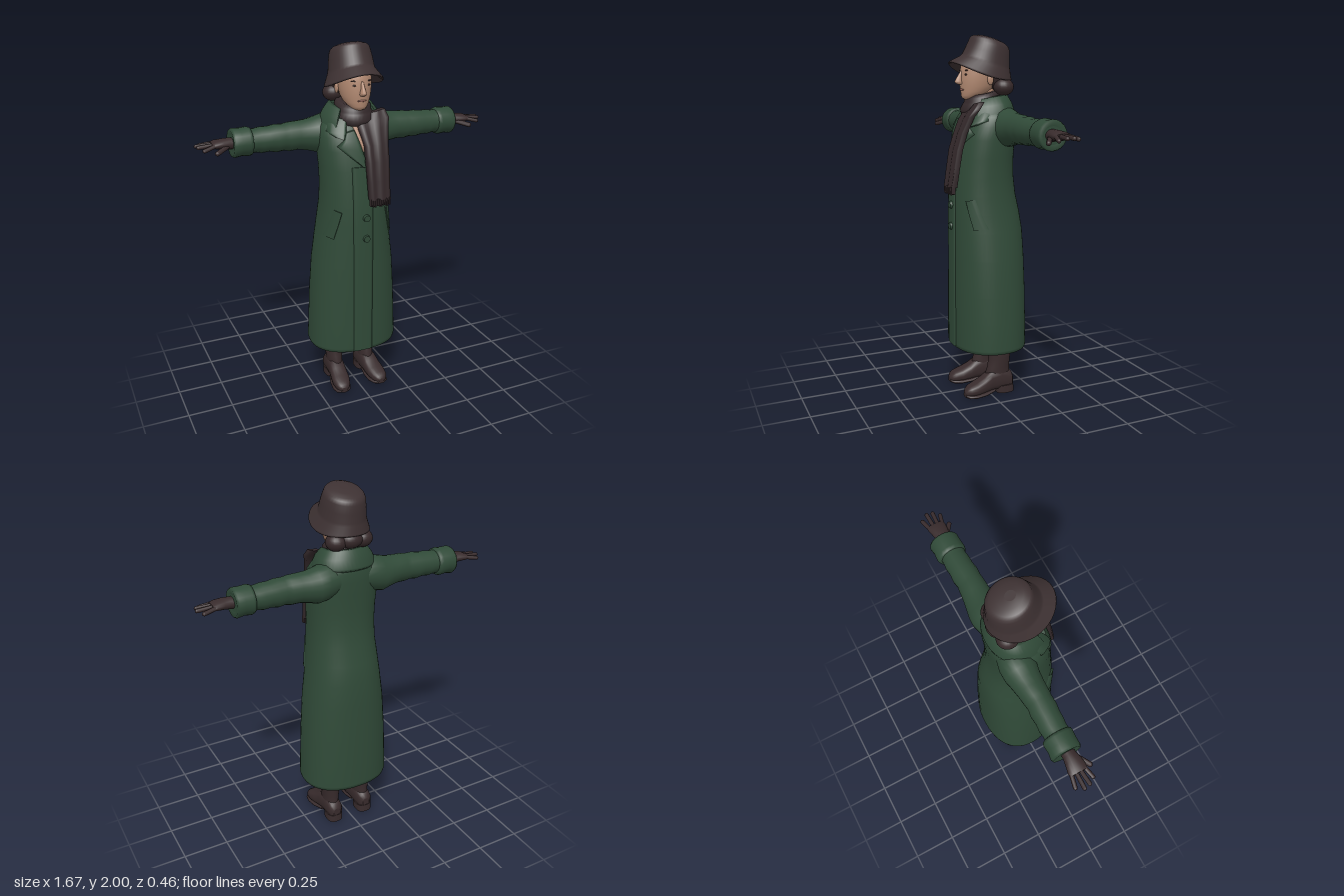
import * as THREE from 'three';

const mat = (name, color, side = THREE.FrontSide) => {
  const m = new THREE.MeshStandardMaterial({ color, side });
  m.name = name;
  return m;
};

// Skin a list of equal-length rings, with flat end caps
function loft(rings) {
  const n = rings[0].length, pos = [], idx = [];
  rings.forEach(r => r.forEach(p => pos.push(...p)));
  for (let j = 0; j < rings.length - 1; j++)
    for (let i = 0; i < n; i++) {
      const a = j * n + i, b = j * n + (i + 1) % n;
      idx.push(a, b, b + n, a, b + n, a + n);
    }
  [rings[0], rings[rings.length - 1]].forEach((r, end) => {
    const start = pos.length / 3, c = [0, 1, 2].map(k => r.reduce((s, p) => s + p[k], 0) / n);
    r.forEach(p => pos.push(...p));
    pos.push(...c);
    for (let i = 0; i < n; i++) {
      const a = start + i, b = start + (i + 1) % n;
      idx.push(...(end ? [a, b, start + n] : [b, a, start + n]));
    }
  });
  const g = new THREE.BufferGeometry();
  g.setAttribute('position', new THREE.Float32BufferAttribute(pos, 3));
  g.setIndex(idx);
  g.computeVertexNormals();
  return g;
}

const around = (n, f) => Array.from({ length: n }, (_, i) => f(i / n * Math.PI * 2));
const round = (v, e) => Math.sign(v) * Math.abs(v) ** e;

// Upright body from rows [y, half width, front z, back z, centre x, tilt]
const upright = (rows, n = 32, e = 1) => loft(rows.map(([y, rx, zf, zb, x = 0, tilt = 0]) =>
  around(n, a => [x + rx * round(Math.sin(a), e), y + tilt * Math.cos(a),
    (zf + zb) / 2 + (zf - zb) / 2 * round(Math.cos(a), e)])));

// Body along x from rows [x, centre y, half height, centre z, half depth]
const alongX = (rows, n = 20) => loft(rows.map(([x, y, ry, z, rz]) =>
  around(n, a => [x, y + ry * Math.cos(a), z + rz * Math.sin(a)])));

// Body along z from rows [z, centre x, half width, bottom y, top y]
const alongZ = (rows, n = 20) => loft(rows.map(([z, x, rx, y0, y1]) =>
  around(n, a => [x + rx * round(Math.cos(a), 0.8), (y0 + y1) / 2 + (y1 - y0) / 2 * round(Math.sin(a), 0.8), z])));

const ball = (x, y, z, a, b, c) => new THREE.SphereGeometry(1, 20, 14).scale(a, b, c).translate(x, y, z);

function finger(a, b, r) {
  const A = new THREE.Vector3(...a), B = new THREE.Vector3(...b), d = B.clone().sub(A);
  const q = new THREE.Quaternion().setFromUnitVectors(new THREE.Vector3(0, 1, 0), d.clone().normalize());
  const m = A.add(B).multiplyScalar(0.5);
  return new THREE.CapsuleGeometry(r, d.length(), 4, 8).applyQuaternion(q).translate(m.x, m.y, m.z);
}

function mirrored(g) {
  const m = g.clone().scale(-1, 1, 1);
  m.index.array.reverse();
  return m;
}

const COAT = [
  [0.34, 0.22, 0.15, -0.2], [0.285, 0.245, 0.17, -0.22], [0.28, 0.252, 0.178, -0.23], [0.3, 0.257, 0.18, -0.232],
  [0.45, 0.25, 0.18, -0.23], [0.6, 0.243, 0.18, -0.228], [0.8, 0.228, 0.18, -0.222], [0.95, 0.207, 0.18, -0.215],
  [1.05, 0.196, 0.18, -0.198], [1.15, 0.187, 0.178, -0.175], [1.25, 0.184, 0.17, -0.162], [1.35, 0.188, 0.16, -0.16],
  [1.45, 0.195, 0.145, -0.165], [1.52, 0.195, 0.125, -0.168], [1.57, 0.183, 0.1, -0.168], [1.61, 0.15, 0.07, -0.16],
  [1.64, 0.11, 0.055, -0.14], [1.67, 0.08, 0.04, -0.12]];
const EXP = 0.88;

// Depth of the coat front at (x, y)
function coatZ(x, y) {
  let i = 3;
  while (i < COAT.length - 2 && COAT[i + 1][0] < y) i++;
  const A = COAT[i], B = COAT[i + 1], t = THREE.MathUtils.clamp((y - A[0]) / (B[0] - A[0]), 0, 1);
  const [, rx, zf, zb] = A.map((v, k) => v + (B[k] - v) * t);
  const s = Math.min(1, Math.abs(x) / rx) ** (1 / EXP);
  return (zf + zb) / 2 + (zf - zb) / 2 * Math.sqrt(1 - s * s) ** EXP;
}

// Cloth piece on the coat, rows bottom to top: [x0, y0, x1, y1, optional z]
function patch(rows, thick, under = 0.015, fold = 0) {
  const n = 10;
  return loft(rows.map(([x0, y0, x1, y1, z]) => {
    const at = (t, off) => {
      const x = x0 + (x1 - x0) * t, y = y0 + (y1 - y0) * t;
      return [x, y, (z ?? coatZ(x, y)) + off + fold * Math.sin(t * 13)];
    };
    const ring = [];
    for (let i = 0; i <= n; i++) ring.push(at(i / n, thick * (i % n ? 1 : 0.6)));
    for (let i = n; i >= 0; i--) ring.push(at(i / n, -under));
    return ring;
  }));
}

export function createModel() {
  const root = new THREE.Group();
  root.name = 'womanInCoat';
  const green = mat('coatGreen', 0x304a38), felt = mat('hatBrown', 0x3d3132), knit = mat('scarfBrown', 0x33282a),
    leather = mat('leatherBrown', 0x382b2c), hairMat = mat('hairBrown', 0x36292a), skin = mat('skin', 0xb38a72),
    lip = mat('lips', 0x96655a), dark = mat('eyeDark', 0x4a3630);
  const add = (name, g, m) => {
    const mesh = new THREE.Mesh(g, m);
    mesh.name = name;
    root.add(mesh);
  };
  const pair = (name, g, m) => { add(name + 'Left', g, m); add(name + 'Right', mirrored(g), m); };

  // Coat
  add('coat', upright(COAT, 48, EXP), green);
  add('coatOverlap', patch([0.285, 0.5, 0.8, 1.05, 1.2, 1.37].map(y => [-0.07, y, 0.04, y]), 0.006), green);
  pair('sleeve', alongX([
    [0.08, 1.53, 0.085, -0.075, 0.085], [0.14, 1.522, 0.098, -0.078, 0.095], [0.19, 1.51, 0.096, -0.08, 0.09],
    [0.24, 1.512, 0.083, -0.08, 0.08], [0.29, 1.515, 0.077, -0.078, 0.074], [0.34, 1.513, 0.077, -0.076, 0.07],
    [0.37, 1.513, 0.071, -0.075, 0.067], [0.41, 1.512, 0.074, -0.077, 0.071], [0.45, 1.512, 0.067, -0.078, 0.066],
    [0.49, 1.511, 0.069, -0.08, 0.068], [0.52, 1.511, 0.063, -0.08, 0.064], [0.56, 1.51, 0.065, -0.08, 0.066]]), green);
  pair('cuff', alongX([
    [0.54, 1.51, 0.06, -0.082, 0.064], [0.545, 1.51, 0.072, -0.082, 0.076], [0.56, 1.51, 0.077, -0.084, 0.08],
    [0.6, 1.51, 0.073, -0.084, 0.077], [0.635, 1.508, 0.077, -0.086, 0.08], [0.647, 1.508, 0.07, -0.086, 0.073],
    [0.642, 1.508, 0.045, -0.084, 0.05]]), green);
  pair('pocketFlap', patch([[0.165, 0.97, 0.197, 0.978], [0.145, 1.05, 0.178, 1.058], [0.127, 1.125, 0.158, 1.135]], 0.014), green);
  pair('lapel', patch([[0, 1.37, 0.012, 1.37], [0, 1.42, 0.07, 1.42], [0.01, 1.455, 0.135, 1.48],
    [0.025, 1.51, 0.105, 1.505], [0.04, 1.56, 0.085, 1.55]], 0.016), green);
  pair('collarPoint', patch([[0.1, 1.515, 0.14, 1.528], [0.085, 1.55, 0.17, 1.55], [0.075, 1.585, 0.155, 1.59],
    [0.065, 1.615, 0.125, 1.615]], 0.02), green);
  for (const y of [1.09, 0.972])
    add('button', new THREE.CylinderGeometry(0.018, 0.021, 0.014, 20).rotateX(Math.PI / 2).translate(0, y, 0.19), green);

  // Turned-down collar swept around the neck, profile [radius factor, y]
  const profile = [[0.6, 1.68], [0.72, 1.675], [0.9, 1.635], [1.02, 1.59], [1, 1.575], [0.85, 1.59], [0.55, 1.64]];
  add('collar', loft(Array.from({ length: 33 }, (_, i) => {
    const a = 0.85 + (Math.PI * 2 - 1.7) * i / 32, c = Math.cos(a);
    return profile.map(([k, y]) => [0.168 * k * Math.sin(a), y - 0.015 * Math.max(0, c) - 0.008 * c, -0.045 + (c > 0 ? 0.19 : 0.125) * k * c]);
  })), green);
  add('chest', patch([[-0.006, 1.45, 0.006, 1.45], [-0.025, 1.51, 0.025, 1.51], [-0.045, 1.58, 0.045, 1.58]], 0.005), skin);

  // Scarf with a hanging fringed end
  add('scarfWrap', upright([[1.575, 0.075, 0.09, -0.09], [1.585, 0.1, 0.115, -0.115, 0, -0.008], [1.615, 0.112, 0.122, -0.122, 0, -0.01],
    [1.645, 0.104, 0.108, -0.115, 0, -0.012], [1.655, 0.096, 0.1, -0.108, 0, -0.012], [1.675, 0.096, 0.098, -0.108, 0, -0.014],
    [1.695, 0.084, 0.082, -0.1, 0, -0.016], [1.695, 0.065, 0.06, -0.085, 0, -0.018]]), knit);
  add('scarfEnd', patch([[0.005, 1.2, 0.12, 1.2, 0.215], [0.002, 1.3, 0.122, 1.3, 0.2], [0, 1.4, 0.126, 1.4, 0.184],
    [0, 1.48, 0.13, 1.49, 0.158], [-0.015, 1.55, 0.145, 1.57, 0.125], [-0.02, 1.585, 0.16, 1.61, 0.1],
    [0.02, 1.625, 0.15, 1.65, 0.07]], 0.014, 0.02, 0.004), knit);
  for (let i = 0; i < 10; i++)
    add('scarfFringe', new THREE.BoxGeometry(0.008, 0.04, 0.022).translate(0.01 + i * 0.0117, 1.187 - (i % 3) * 0.003, 0.218), knit);

  // Head and face
  add('neck', upright([[1.52, 0.055, 0.05, -0.07], [1.72, 0.052, 0.04, -0.07]], 20), skin);
  add('head', upright([[1.658, 0.022, 0.1, 0.05], [1.665, 0.036, 0.114, 0.03], [1.68, 0.052, 0.121, 0], [1.7, 0.066, 0.121, -0.04],
    [1.73, 0.078, 0.126, -0.07], [1.77, 0.086, 0.127, -0.09], [1.81, 0.089, 0.124, -0.1], [1.86, 0.088, 0.115, -0.1],
    [1.91, 0.075, 0.07, -0.1]]), skin);
  add('nose', upright([[1.737, 0.012, 0.138, 0.11], [1.746, 0.018, 0.157, 0.11], [1.755, 0.016, 0.16, 0.11],
    [1.772, 0.011, 0.15, 0.11], [1.79, 0.009, 0.138, 0.11], [1.81, 0.008, 0.126, 0.1]], 16), skin);
  add('mouth', ball(0, 1.711, 0.119, 0.025, 0.006, 0.007), lip);
  pair('eye', ball(0.036, 1.79, 0.111, 0.015, 0.005, 0.006), dark);
  pair('brow', ball(0.038, 1.812, 0.109, 0.022, 0.004, 0.006), dark);
  pair('ear', ball(0.088, 1.765, -0.01, 0.01, 0.03, 0.018), skin);

  // Rolled hair under the hat
  add('hairBack', ball(0, 1.79, -0.06, 0.095, 0.09, 0.085), hairMat);
  pair('hairRoll', ball(0.076, 1.725, -0.092, 0.055, 0.047, 0.056), hairMat);
  add('hairBun', ball(0, 1.733, -0.112, 0.062, 0.046, 0.05), hairMat);

  // Hat rings: [y, centre z, half width, half depth, tilt, side droop]
  add('hat', loft([[1.835, -0.01, 0.095, 0.11, 0.04, 0.015], [1.806, 0.012, 0.148, 0.17, 0.046, 0.03],
    [1.81, 0.012, 0.152, 0.174, 0.046, 0.03], [1.816, 0.011, 0.15, 0.171, 0.046, 0.028], [1.85, -0.017, 0.125, 0.138, 0.04, 0.015],
    [1.862, -0.022, 0.12, 0.131, 0.038, 0.01], [1.9, -0.031, 0.115, 0.122, 0.032, 0], [1.94, -0.04, 0.108, 0.112, 0.028, 0],
    [1.958, -0.04, 0.101, 0.105, 0.027, 0], [1.97, -0.039, 0.088, 0.092, 0.025, 0], [1.98, -0.037, 0.06, 0.062, 0.018, 0],
    [1.984, -0.035, 0.025, 0.026, 0.008, 0]].map(([y, z, rx, rz, tilt, droop]) =>
    around(40, a => [rx * Math.sin(a), y + tilt * Math.cos(a) - droop * Math.sin(a) ** 2, z + rz * Math.cos(a)]))), felt);

  // Gloves
  pair('palm', alongX([[0.61, 1.508, 0.03, -0.08, 0.034], [0.66, 1.51, 0.03, -0.078, 0.036], [0.69, 1.512, 0.027, -0.077, 0.043],
    [0.73, 1.512, 0.022, -0.08, 0.049], [0.75, 1.51, 0.015, -0.082, 0.046]]), leather);
  const tips = [[0.795, 1.497, -0.03], [0.818, 1.508, -0.062], [0.824, 1.508, -0.094], [0.802, 1.502, -0.13]];
  tips.forEach((tip, i) => pair('finger', finger([0.735, 1.512, -0.046 - i * 0.023], tip, 0.011), leather));
  pair('thumb', finger([0.675, 1.5, -0.05], [0.735, 1.482, -0.01], 0.013), leather);

  // Legs and boots
  pair('trouserLeg', new THREE.CylinderGeometry(0.055, 0.044, 0.2, 20).translate(0.1, 0.34, -0.065), green);
  pair('bootShaft', upright([[0.06, 0.044, 0.02, -0.13, 0.1], [0.12, 0.043, 0.022, -0.122, 0.1], [0.16, 0.046, 0.008, -0.122, 0.1],
    [0.21, 0.051, 0.002, -0.126, 0.1], [0.255, 0.055, 0.003, -0.131, 0.1], [0.268, 0.054, 0.002, -0.13, 0.1],
    [0.27, 0.046, -0.006, -0.12, 0.1]], 24), leather);
  pair('bootFoot', alongZ([[-0.142, 0.1, 0.022, 0.03, 0.09], [-0.128, 0.1, 0.042, 0.02, 0.12], [-0.06, 0.1, 0.048, 0.02, 0.15],
    [0, 0.104, 0.048, 0.018, 0.138], [0.04, 0.108, 0.051, 0.015, 0.108], [0.09, 0.114, 0.053, 0.012, 0.084],
    [0.13, 0.118, 0.044, 0.012, 0.07], [0.15, 0.12, 0.03, 0.014, 0.055], [0.158, 0.12, 0.014, 0.02, 0.04]]), leather);
  pair('bootSole', alongZ([[-0.02, 0.103, 0.04, 0.012, 0.034], [0.04, 0.11, 0.052, 0.002, 0.026], [0.1, 0.115, 0.056, 0, 0.024],
    [0.14, 0.119, 0.044, 0.002, 0.026], [0.157, 0.12, 0.022, 0.008, 0.026]]), leather);
  pair('bootHeel', upright([[0, 0.046, -0.04, -0.147, 0.1], [0.045, 0.047, -0.035, -0.145, 0.1]], 20, 0.7), leather);
  return root;
}
